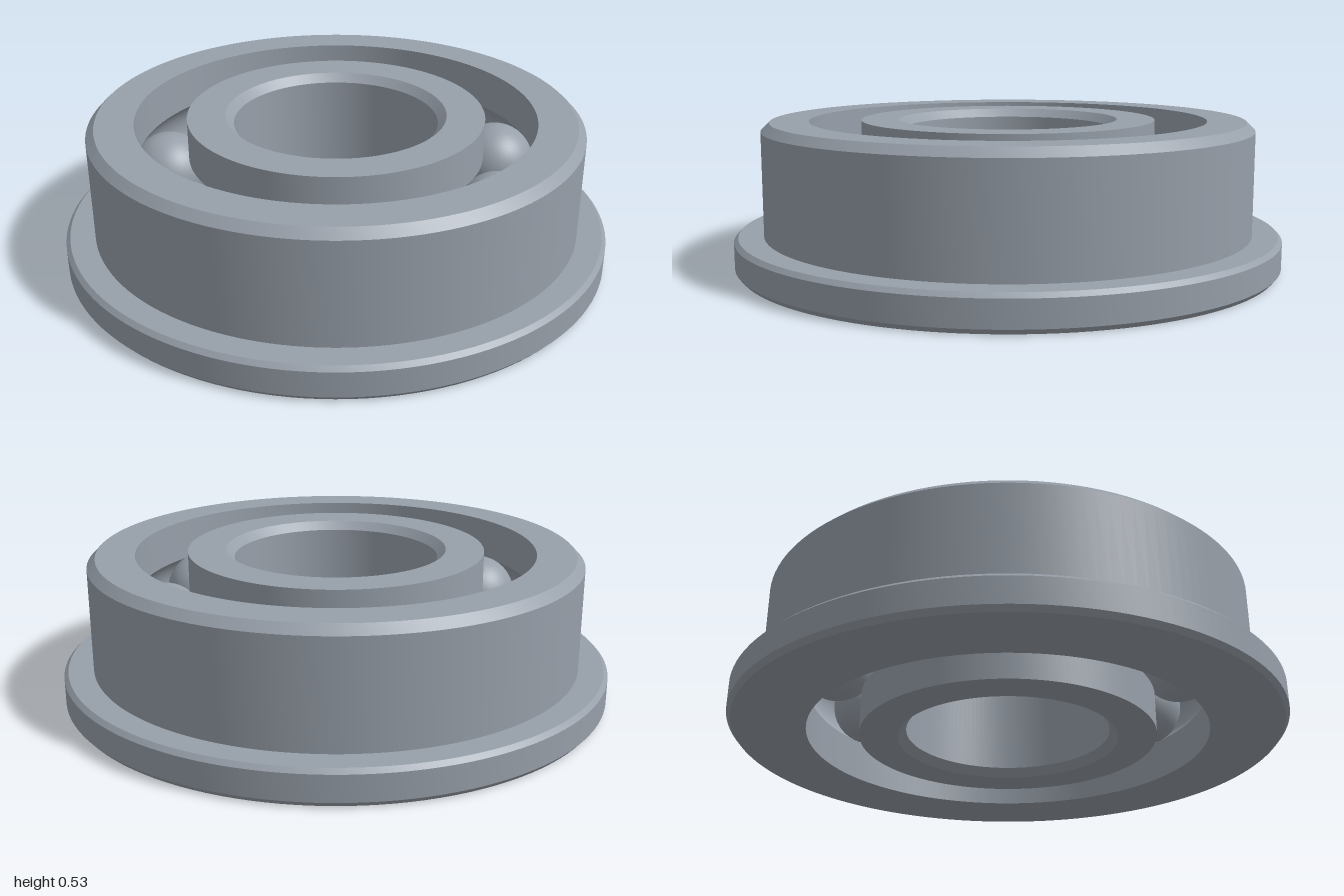
import * as THREE from 'three';
import { toCreasedNormals } from 'three/addons/utils/BufferGeometryUtils.js';

const HEIGHT = 0.53, MID = HEIGHT / 2;
const PITCH = 0.63, BALL = 0.145, GROOVE = 0.147; // ball circle, ball and raceway radii
const BALLS = 9;

// Arc of the raceway groove cut into a wall of radius r, listed from startSign * y to the other side
function raceway(r, startSign) {
  const dr = r - PITCH, points = [], steps = 14;
  const half = Math.acos(Math.abs(dr) / GROOVE);
  for (let i = 0; i <= steps; i++) {
    const a = startSign * half * (1 - (2 * i) / steps);
    points.push([PITCH + Math.sign(dr) * GROOVE * Math.cos(a), MID + GROOVE * Math.sin(a)]);
  }
  return points;
}

// Closed, counter-clockwise (radius, y) profile turned into a ring with sharp edges
function ring(name, profile, material) {
  const points = [...profile, profile[0]].map(([r, y]) => new THREE.Vector2(r, y));
  const geometry = toCreasedNormals(new THREE.LatheGeometry(points, 128), Math.PI / 7);
  const mesh = new THREE.Mesh(geometry, material);
  mesh.name = name;
  return mesh;
}

export function createModel() {
  const steel = new THREE.MeshStandardMaterial({ color: 0x979fa9 });
  steel.name = 'steel';
  const group = new THREE.Group();
  group.name = 'flangedBallBearing';

  // Outer ring with flange, chamfers and inward-facing raceway
  group.add(ring('outerRing', [
    [0.725, 0], [0.985, 0], [1, 0.018], [1, 0.11], [0.985, 0.125],
    [0.895, 0.125], [0.895, 0.5], [0.865, HEIGHT], [0.725, HEIGHT],
    ...raceway(0.725, 1),
  ], steel));

  // Inner ring with chamfered bore and outward-facing raceway
  group.add(ring('innerRing', [
    [0.4, 0], [0.538, 0],
    ...raceway(0.538, -1),
    [0.538, HEIGHT], [0.4, HEIGHT], [0.37, HEIGHT - 0.03], [0.37, 0.03],
  ], steel));

  // Balls evenly spaced between the rings
  const balls = new THREE.Group();
  balls.name = 'balls';
  const ballGeometry = new THREE.SphereGeometry(BALL, 40, 28);
  for (let i = 0; i < BALLS; i++) {
    const a = -0.033 + (i / BALLS) * Math.PI * 2;
    const ball = new THREE.Mesh(ballGeometry, steel);
    ball.name = 'ball';
    ball.position.set(PITCH * Math.sin(a), MID, PITCH * Math.cos(a));
    balls.add(ball);
  }
  group.add(balls);
  return group;
}
